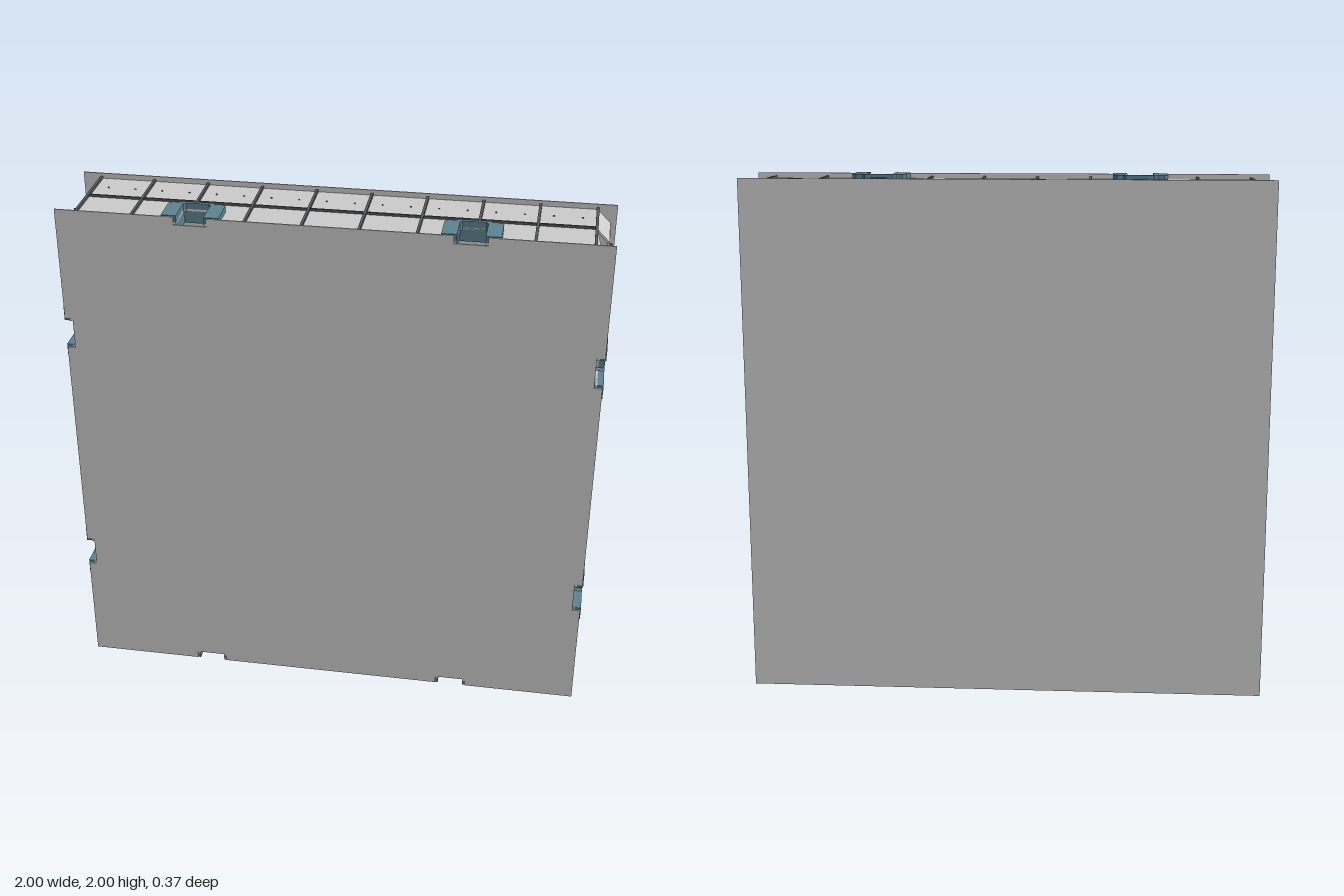
import * as THREE from 'three';

const grey = new THREE.MeshStandardMaterial({ color: 0xcccccc, side: THREE.DoubleSide });
const dark = new THREE.MeshStandardMaterial({ color: 0x55585a });
const teal = new THREE.MeshStandardMaterial({ color: 0x5f8290, side: THREE.DoubleSide });

const HALF = 0.997;   // half size of the face sheets
const WALL = 0.977;   // distance of the edge walls from the centre
const DEPTH = 0.183;  // half thickness of the panel
const CLIPS = [-0.5, 0.5];

function add(parent, name, geometry, material, x = 0, y = 0, z = 0) {
  const mesh = new THREE.Mesh(geometry, material);
  mesh.name = name;
  mesh.position.set(x, y, z);
  parent.add(mesh);
  return mesh;
}

function box(parent, name, w, h, d, material, x, y, z) {
  return add(parent, name, new THREE.BoxGeometry(w, h, d), material, x, y, z);
}

const shapeFrom = (pts) => new THREE.Shape(pts.map(([x, y]) => new THREE.Vector2(x, y)));
const extrude = (shape, depth) => new THREE.ExtrudeGeometry(shape, { depth, bevelEnabled: false });

// Extrudes a shape drawn in (along edge, z), inward from its outer face
const slab = (pts, depth) => extrude(shapeFrom(pts), depth).rotateX(Math.PI / 2);

// Square face sheet; the front one is notched at each clip
function sheet(notched) {
  const pts = [];
  for (let k = 0; k < 4; k++) {
    const a = k * Math.PI / 2, c = Math.cos(a), s = Math.sin(a);
    const edge = [[-HALF, -HALF]];
    if (notched) for (const u of CLIPS)
      edge.push([u - 0.06, -HALF], [u - 0.06, -0.967], [u + 0.06, -0.967], [u + 0.06, -HALF]);
    for (const [x, y] of edge) pts.push([x * c - y * s, x * s + y * c]);
  }
  return extrude(shapeFrom(pts), 0.005);
}

// U-shaped clip open towards the front, with a sleeve reaching inside
function addClip(side, u) {
  const clip = new THREE.Group();
  clip.name = 'edgeClip';
  clip.position.x = u;
  side.add(clip);
  const front = DEPTH - 0.006;
  const outline = [
    [-0.105, front], [-0.105, 0.065], [-0.09, 0.053], [-0.065, 0.053], [-0.055, 0.043],
    [0.055, 0.043], [0.065, 0.053], [0.09, 0.053], [0.105, 0.065], [0.105, front],
    [0.05, front], [0.05, 0.065], [0.042, 0.057], [-0.042, 0.057], [-0.05, 0.065], [-0.05, front],
  ];
  add(clip, 'clipBody', slab(outline, 0.035), teal, 0, 1, 0);
  for (const s of [-1, 1])
    box(clip, 'clipSleeveSide', 0.006, 0.045, front - 0.057, teal, s * 0.054, 0.945, (front + 0.057) / 2);
  box(clip, 'clipSleeveBack', 0.1, 0.045, 0.006, teal, 0, 0.945, 0.053);
  box(clip, 'clipLatch', 0.06, 0.012, 0.006, dark, 0, 0.981, 0.036);
}

// One edge of the panel, built as the top edge and later turned into place
function makeSide(name, frontHalf, ribCount) {
  const side = new THREE.Group();
  side.name = name;
  const wall = [[-0.925, -0.18], [0.925, -0.18], [0.925, 0], [frontHalf, 0], [frontHalf, 0.18]];
  for (const u of [0.5, -0.5])
    wall.push([u + 0.05, 0.18], [u + 0.05, 0.057], [u - 0.05, 0.057], [u - 0.05, 0.18]);
  wall.push([-frontHalf, 0.18], [-frontHalf, 0], [-0.925, 0]);
  add(side, 'edgeWall', slab(wall, 0.008), grey, 0, WALL, 0);
  box(side, 'middleRail', 1.85, 0.01, 0.007, dark, 0, WALL + 0.004, 0);

  // Cross ribs, shortened where a clip opening interrupts them
  const pitch = 0.206;
  for (let i = 0; i < ribCount; i++) {
    const u = (i - (ribCount - 1) / 2) * pitch;
    const atClip = Math.abs(Math.abs(u) - 0.5) < 0.06;
    const end = atClip ? 0.04 : 0.177;
    box(side, 'crossRib', 0.01, 0.01, end + 0.177, dark, u, WALL + 0.004, (end - 0.177) / 2);
    // Rivets in the rear half of each bay
    if (i < ribCount - 1) for (const f of [0.25, 0.75])
      add(side, 'rivet', new THREE.CylinderGeometry(0.003, 0.003, 0.004, 8), dark, u + f * pitch, WALL + 0.001, -0.09);
  }
  for (const u of CLIPS) addClip(side, u);
  return side;
}

// Slanted corner plate between two points of the outline
function addCorner(parent, name, [x0, y0], [x1, y1], z0, z1) {
  const length = Math.hypot(x1 - x0, y1 - y0);
  const plate = box(parent, name, length, 0.008, z1 - z0, grey, (x0 + x1) / 2, (y0 + y1) / 2, (z0 + z1) / 2);
  plate.rotation.z = Math.atan2(y1 - y0, x1 - x0);
}

export function createModel() {
  const model = new THREE.Group();
  model.name = 'squarePanel';
  const body = new THREE.Group();
  body.name = 'panelBody';
  body.position.y = 1;
  model.add(body);

  add(body, 'frontSheet', sheet(true), grey, 0, 0, DEPTH - 0.005);
  add(body, 'backSheet', sheet(false), grey, 0, 0, -DEPTH);

  const names = ['topEdge', 'leftEdge', 'bottomEdge', 'rightEdge'];
  names.forEach((name, k) => {
    const upright = k % 2 === 1;
    const side = makeSide(name, upright ? 0.825 : 0.925, upright ? 9 : 10);
    side.rotation.z = -k * Math.PI / 2;
    body.add(side);
  });

  // Corners: steep in the front half, 45 degrees in the rear half
  const w = WALL - 0.004;
  for (const sx of [-1, 1]) for (const sy of [-1, 1]) {
    addCorner(body, 'frontCorner', [sx * 0.925, sy * w], [sx * w, sy * 0.825], 0.004, 0.18);
    addCorner(body, 'rearCorner', [sx * 0.925, sy * w], [sx * w, sy * 0.925], -0.18, -0.004);
  }
  return model;
}
